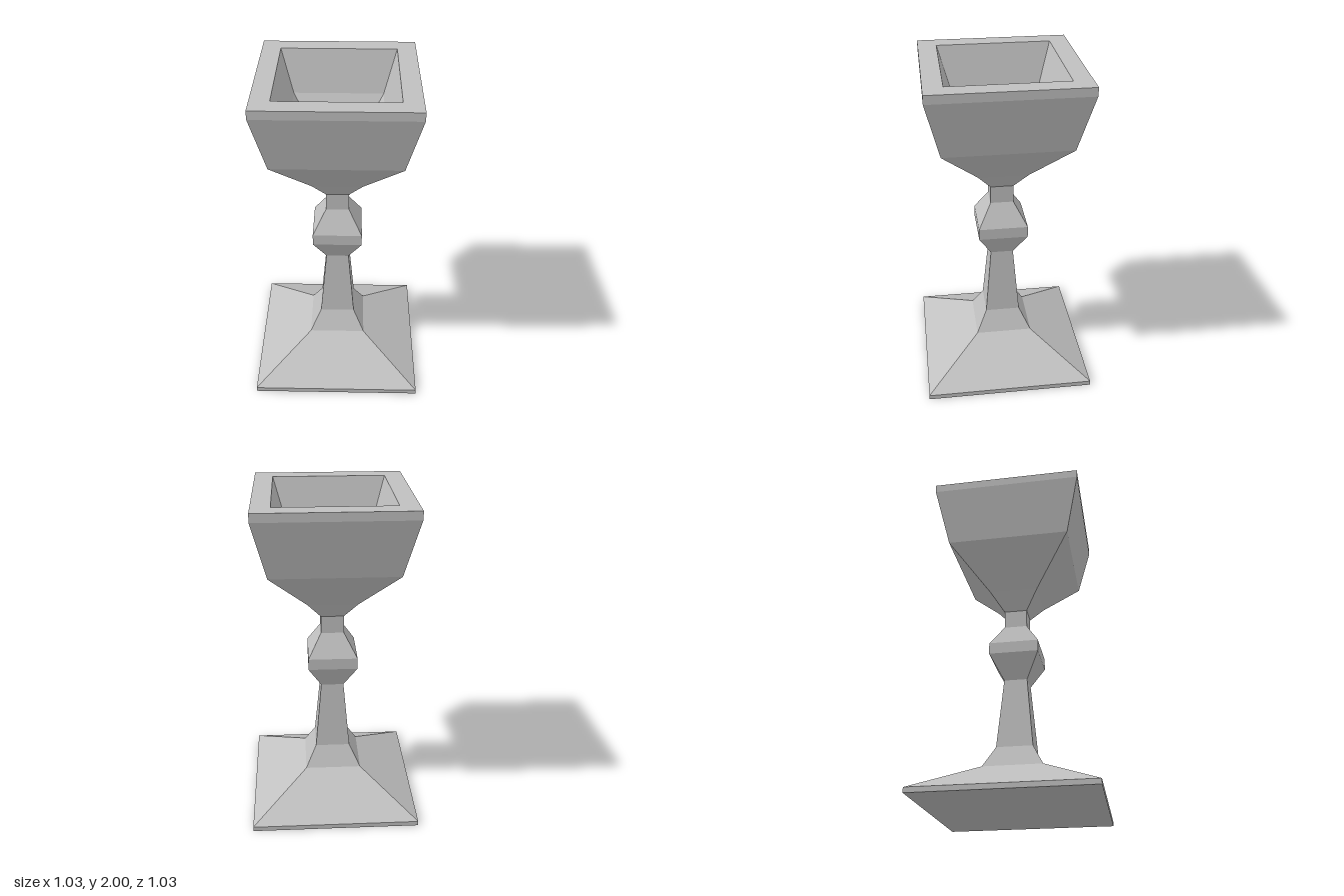
import * as THREE from 'three';

// Square "turned" part: profile rows are [half width, height], followed bottom to top on the outside
function squareTurned(name, profile, material) {
  const points = profile.map(([half, y]) => new THREE.Vector2(half * Math.SQRT2, y));
  const geometry = new THREE.LatheGeometry(points, 4, Math.PI / 4).toNonIndexed();
  geometry.computeVertexNormals(); // one normal per facet
  const mesh = new THREE.Mesh(geometry, material);
  mesh.name = name;
  return mesh;
}

export function createModel() {
  const group = new THREE.Group();
  group.name = 'goblet';
  const stone = new THREE.MeshStandardMaterial({ color: 0xc0c0c0 });
  stone.name = 'grey stone';

  const parts = {
    // Flat plinth with a sloping top and closed underside
    foot: [[0, 0], [0.515, 0], [0.515, 0.03], [0.175, 0.22]],
    // Tapering shaft
    stem: [[0.175, 0.22], [0.108, 0.35], [0.07, 0.78]],
    // Faceted swelling and neck
    knop: [[0.07, 0.78], [0.15, 0.93], [0.15, 1.0], [0.07, 1.14], [0.07, 1.25]],
    // Outer walls of the cup
    bowl: [[0.07, 1.25], [0.15, 1.36], [0.37, 1.61], [0.45, 1.95], [0.45, 2]],
    // Flat rim
    rim: [[0.45, 2], [0.34, 2]],
    // Hollow, from the rim down to the flat floor
    bowlInside: [[0.34, 2], [0.268, 1.75], [0.109, 1.5], [0, 1.5]],
  };
  for (const [name, profile] of Object.entries(parts)) {
    group.add(squareTurned(name, profile, stone));
  }
  return group;
}
